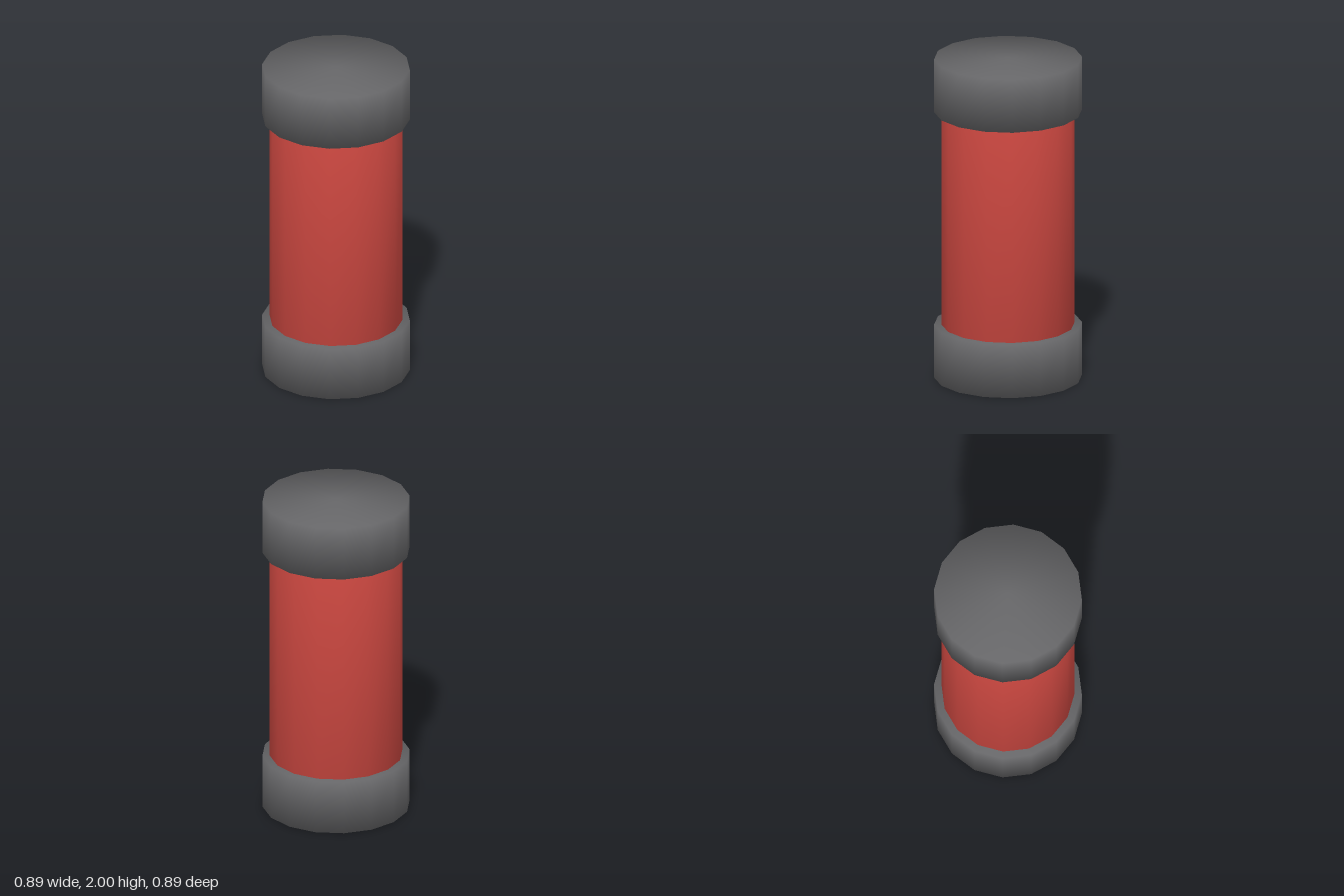
import * as THREE from 'three';
import { mergeVertices } from 'three/addons/utils/BufferGeometryUtils.js';

const SIDES = 16;

// Closed cylinder with shared rim vertices, so shading rolls over the edges
function softCylinder(radius, height) {
  const geometry = new THREE.CylinderGeometry(radius, radius, height, SIDES);
  geometry.deleteAttribute('normal');
  geometry.deleteAttribute('uv');
  const merged = mergeVertices(geometry, 1e-4);
  merged.computeVertexNormals();
  return merged;
}

export function createModel() {
  const model = new THREE.Group();
  model.name = 'canister';

  const red = new THREE.MeshStandardMaterial({ color: 0xc8463f });
  red.name = 'red';
  const darkGrey = new THREE.MeshStandardMaterial({ color: 0x666668 });
  darkGrey.name = 'dark grey';

  const capHeight = 0.333;

  // Red tube between the caps
  const body = new THREE.Mesh(softCylinder(0.4, 2 - 2 * capHeight), red);
  body.name = 'body';
  body.position.y = 1;
  model.add(body);

  // Wider end caps
  const capGeometry = softCylinder(0.444, capHeight);
  for (const [name, y] of [['bottomCap', capHeight / 2], ['topCap', 2 - capHeight / 2]]) {
    const cap = new THREE.Mesh(capGeometry, darkGrey);
    cap.name = name;
    cap.position.y = y;
    model.add(cap);
  }

  return model;
}
